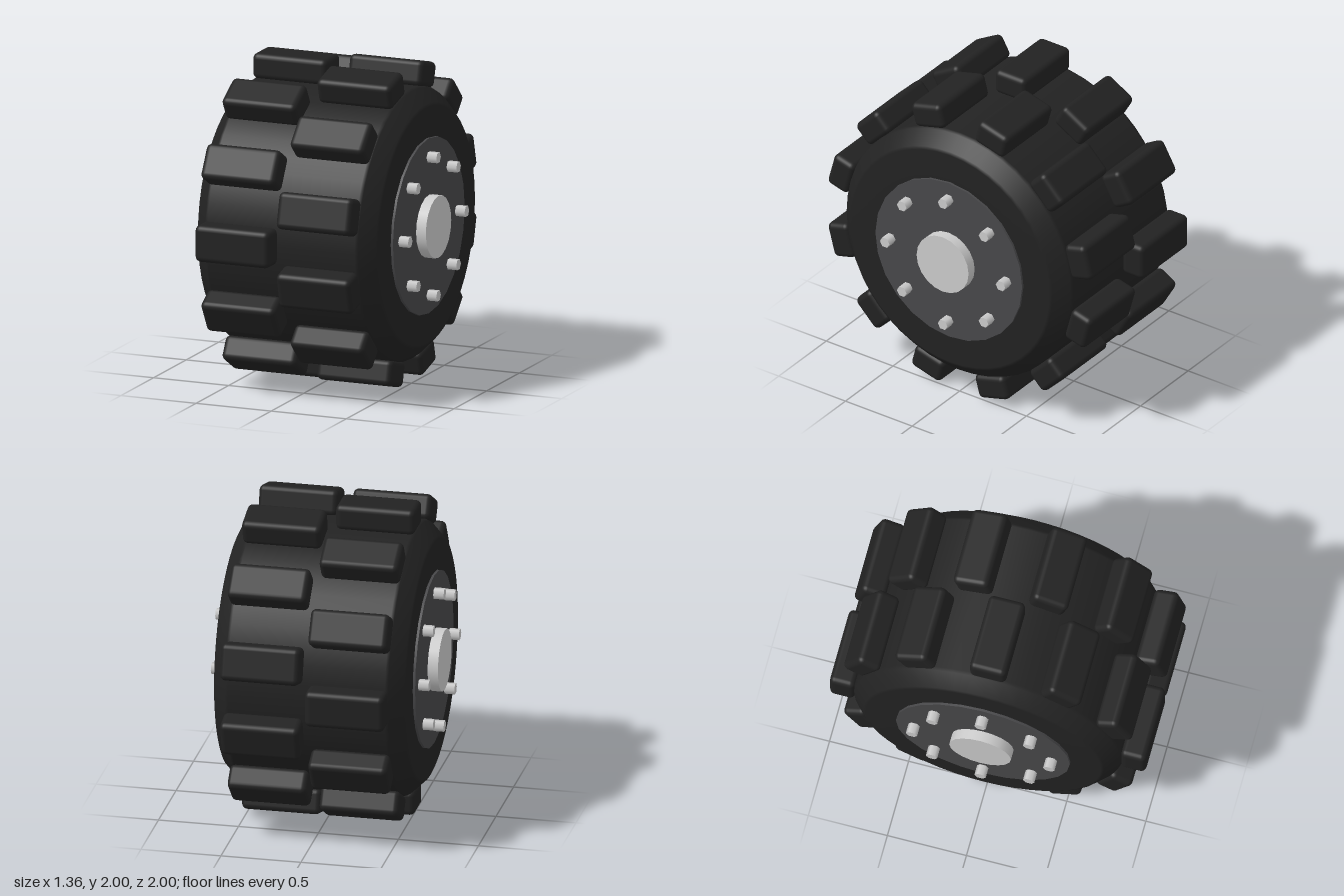
import * as THREE from 'three';
import { RoundedBoxGeometry } from 'three/addons/geometries/RoundedBoxGeometry.js';

const rubber = new THREE.MeshStandardMaterial({ color: 0x222222 });
const darkMetal = new THREE.MeshStandardMaterial({ color: 0x48484a });
const metal = new THREE.MeshStandardMaterial({ color: 0xcccccc });

// Solid of revolution around the x axis; profile points are [radius, x]
function turned(profile, sides) {
  const points = profile.map(([r, x]) => new THREE.Vector2(r, x));
  return new THREE.LatheGeometry(points, sides).rotateZ(-Math.PI / 2);
}

export function createModel() {
  const wheel = new THREE.Group();
  wheel.name = 'wheel';
  wheel.position.y = 1;

  function add(geometry, material, name, parent = wheel) {
    const mesh = new THREE.Mesh(geometry, material);
    mesh.name = name;
    parent.add(mesh);
    return mesh;
  }

  // Tire body with bevelled shoulders
  add(turned([
    [0.5, -0.6], [0.74, -0.6], [0.76, -0.592], [0.84, -0.51], [0.85, -0.49],
    [0.85, 0.49], [0.84, 0.51], [0.76, 0.592], [0.74, 0.6], [0.5, 0.6],
  ], 48), rubber, 'tire');

  // Two staggered rows of tread blocks
  const blockGeometry = new RoundedBoxGeometry(0.495, 0.16, 0.23, 3, 0.035);
  for (const side of [-1, 1]) {
    const row = new THREE.Group();
    row.name = side < 0 ? 'rightTreadRow' : 'leftTreadRow';
    wheel.add(row);
    for (let i = 0; i < 12; i++) {
      const angle = (i + (side > 0 ? 0.5 : 0)) * Math.PI / 6;
      const block = add(blockGeometry, rubber, 'treadBlock', row);
      block.position.set(side * 0.267, 0.92 * Math.cos(angle), 0.92 * Math.sin(angle));
      block.rotation.x = angle;
    }
  }

  // Rim disc, hub cap and ring of bolts on each side
  const rimGeometry = new THREE.CylinderGeometry(0.55, 0.55, 0.08, 24).rotateZ(Math.PI / 2);
  const hubGeometry = new THREE.CylinderGeometry(0.195, 0.195, 0.1, 20).rotateZ(Math.PI / 2);
  const boltGeometry = new THREE.CylinderGeometry(0.036, 0.036, 0.09, 6).rotateZ(Math.PI / 2);
  for (const side of [-1, 1]) {
    const hubSide = new THREE.Group();
    hubSide.name = side < 0 ? 'rightHub' : 'leftHub';
    wheel.add(hubSide);
    add(rimGeometry, darkMetal, 'rim', hubSide).position.x = side * 0.575;
    add(hubGeometry, metal, 'hubCap', hubSide).position.x = side * 0.63;
    for (let i = 0; i < 8; i++) {
      const angle = i * Math.PI / 4;
      add(boltGeometry, metal, 'bolt', hubSide)
        .position.set(side * 0.635, 0.434 * Math.cos(angle), 0.434 * Math.sin(angle));
    }
  }

  const model = new THREE.Group();
  model.name = 'offRoadWheel';
  model.add(wheel);
  return model;
}
